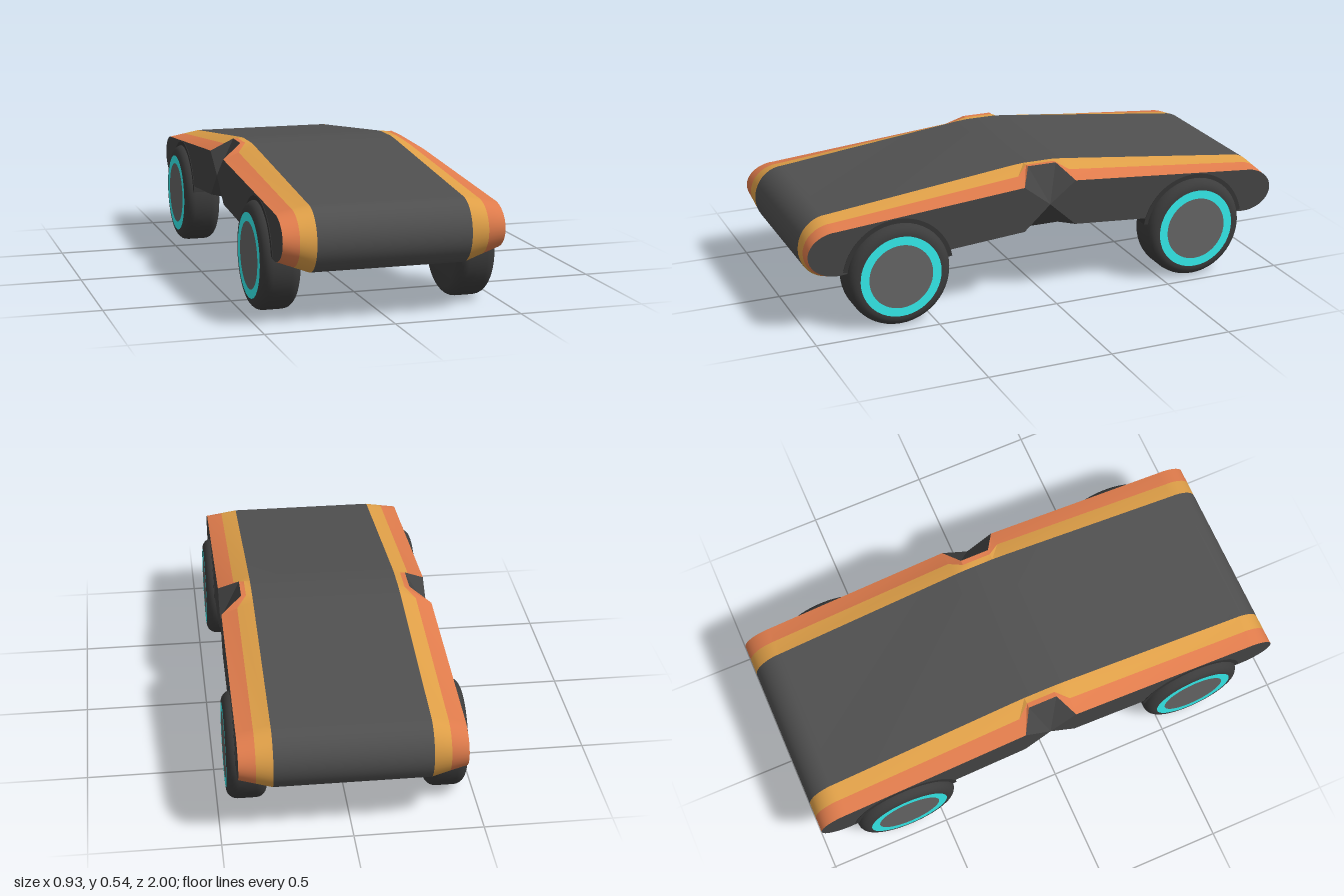
import * as THREE from 'three';
import { toCreasedNormals } from 'three/addons/utils/BufferGeometryUtils.js';

const mat = (color) => new THREE.MeshStandardMaterial({ color });
const DECK = mat(0x505050), DARK = mat(0x444444), YELLOW = mat(0xe0a048), ORANGE = mat(0xe07c4c);
const TYRE = mat(0x3c3c3c), CYAN = mat(0x35eeee), HUB = mat(0x666666), ARCH = mat(0x343434);

// Half outline, top centre -> nose -> bottom centre: [z, inner y, outer y, middle x, outer x]
const half = [[0, 0.54, 0.54, 0.325, 0.345], [0.06, 0.54, 0.54, 0.325, 0.345], [0.11, 0.536, 0.485, 0.365, 0.43]];
const ARC = 20;
for (let i = 0; i <= ARC; i++) {
  const t = Math.PI * (0.5 - i / ARC);
  half.push([0.88 + 0.12 * Math.cos(t), 0.3175 + 0.1275 * Math.sin(t), 0.33 + 0.09 * Math.sin(t), 0.365, 0.43]);
}
half.push([0.11, 0.28, 0.3, 0.365, 0.43], [0.07, 0.285, 0.285, 0.325, 0.345], [0, 0.285, 0.285, 0.325, 0.345]);
const loop = [...half, ...half.slice(1, -1).reverse().map(([z, ...r]) => [-z, ...r])];
const lastTop = 2 + ARC;                 // half index where the underside begins
const isUnder = (i) => i >= lastTop && i < loop.length - lastTop;

// Lengthwise rails of the body shell
const rails = {
  inner: loop.map(([z, yi]) => [0.3, yi, z]),
  middle: loop.map(([z, yi, yo, xm, xo]) => [xm, yi + (yo - yi) * (xm - 0.3) / (xo - 0.3), z]),
  outer: loop.map(([z, , yo, , xo]) => [xo, yo, z]),
};
const mirrorX = (pts) => pts.map(([x, y, z]) => [-x, y, z]);

function meshFrom(name, tris, material) {
  const g = new THREE.BufferGeometry();
  g.setAttribute('position', new THREE.Float32BufferAttribute(tris.flat(2), 3));
  const m = new THREE.Mesh(toCreasedNormals(g, 0.45), material);
  m.name = name;
  return m;
}

// Closed band between two rails, a having the smaller x
function band(a, b, keep = () => true) {
  const tris = [];
  a.forEach((p, i) => {
    if (!keep(i)) return;
    const j = (i + 1) % a.length;
    tris.push([p, a[j], b[j]], [p, b[j], b[i]]);
  });
  return tris;
}

function sidePanels(side) {
  const group = new THREE.Group();
  group.name = side > 0 ? 'leftSide' : 'rightSide';
  const strip = (a, b, keep) => side > 0 ? band(a, b, keep) : band(mirrorX(b), mirrorX(a), keep);
  const orient = (tris) => side > 0 ? tris : tris.map((t) => mirrorX(t).reverse());
  group.add(meshFrom('yellowStripe', [
    ...strip(rails.inner, rails.middle),
    ...strip(rails.middle, rails.outer, isUnder)], YELLOW));
  group.add(meshFrom('orangeStripe', strip(rails.middle, rails.outer, (i) => !isUnder(i)), ORANGE));

  // Flat flank: a fan from the waist point, forwards and backwards
  const waist = [0.43, 0.4, 0];
  const back = ([x, y, z]) => [x, y, -z];
  const flipZ = (t) => t.map(back).reverse();
  const flank = [];
  for (let i = 2; i < half.length - 3; i++) {
    const t = [waist, rails.outer[i], rails.outer[i + 1]];
    flank.push(t, flipZ(t));
  }
  group.add(meshFrom('flank', orient(flank), DARK));

  // Faceted notches above and below the waist
  const n = half.length - 1;
  const [topIn, topOut, lowOut, lowIn] = [1, 2, n - 2, n - 1].map((i) => rails.outer[i]);
  const notch = [[topIn, waist, back(topIn)], [lowIn, back(lowIn), waist]];
  for (const t of [[topIn, topOut, waist], [lowIn, waist, lowOut]]) notch.push(t, flipZ(t));
  group.add(meshFrom('waistNotch', orient(notch), DARK));
  return group;
}

const lathe = (name, pts, material) => {
  const g = new THREE.LatheGeometry(pts.map(([r, y]) => new THREE.Vector2(r, y)), 48);
  const m = new THREE.Mesh(toCreasedNormals(g, 0.5), material);
  m.name = name;
  return m;
};

function wheel(side, z) {
  const group = new THREE.Group();
  group.name = 'wheel';
  const h = 0.0775, R = 0.21, c = 0.042;
  // Tyre with rounded shoulders, closed on the inner face
  const profile = [[0, -h]];
  for (const s of [-1, 1]) {
    for (let i = 0; i <= 6; i++) {
      const t = (s < 0 ? i - 6 : i) * Math.PI / 12;
      profile.push([R - c + c * Math.cos(t), s * (h - c) + c * Math.sin(t)]);
    }
  }
  profile.push([0.165, h]);
  group.add(lathe('tyre', profile, TYRE));
  group.add(lathe('rimRing', [[0.165, h], [0.13, h]], CYAN));
  group.add(lathe('hub', [[0.13, h], [0, h]], HUB));
  group.rotation.z = -side * Math.PI / 2;
  group.position.set(side * 0.3865, R, z);
  return group;
}

// Dark arch lining around the upper half of a wheel
function arch(side, z) {
  const start = (side > 0 ? Math.PI : 0) + 0.18;
  const m = new THREE.Mesh(
    new THREE.CylinderGeometry(0.226, 0.226, 0.1, 40, 1, false, start, Math.PI - 0.36), ARCH);
  m.name = 'wheelArch';
  m.rotation.z = -side * Math.PI / 2;
  m.position.set(side * 0.382, 0.21, z);
  return m;
}

export function createModel() {
  const model = new THREE.Group();
  model.name = 'lowCar';
  model.add(meshFrom('centreBody', band(mirrorX(rails.inner), rails.inner), DECK));
  for (const side of [1, -1]) {
    model.add(sidePanels(side));
    for (const z of [0.64, -0.64]) model.add(wheel(side, z), arch(side, z));
  }
  return model;
}
